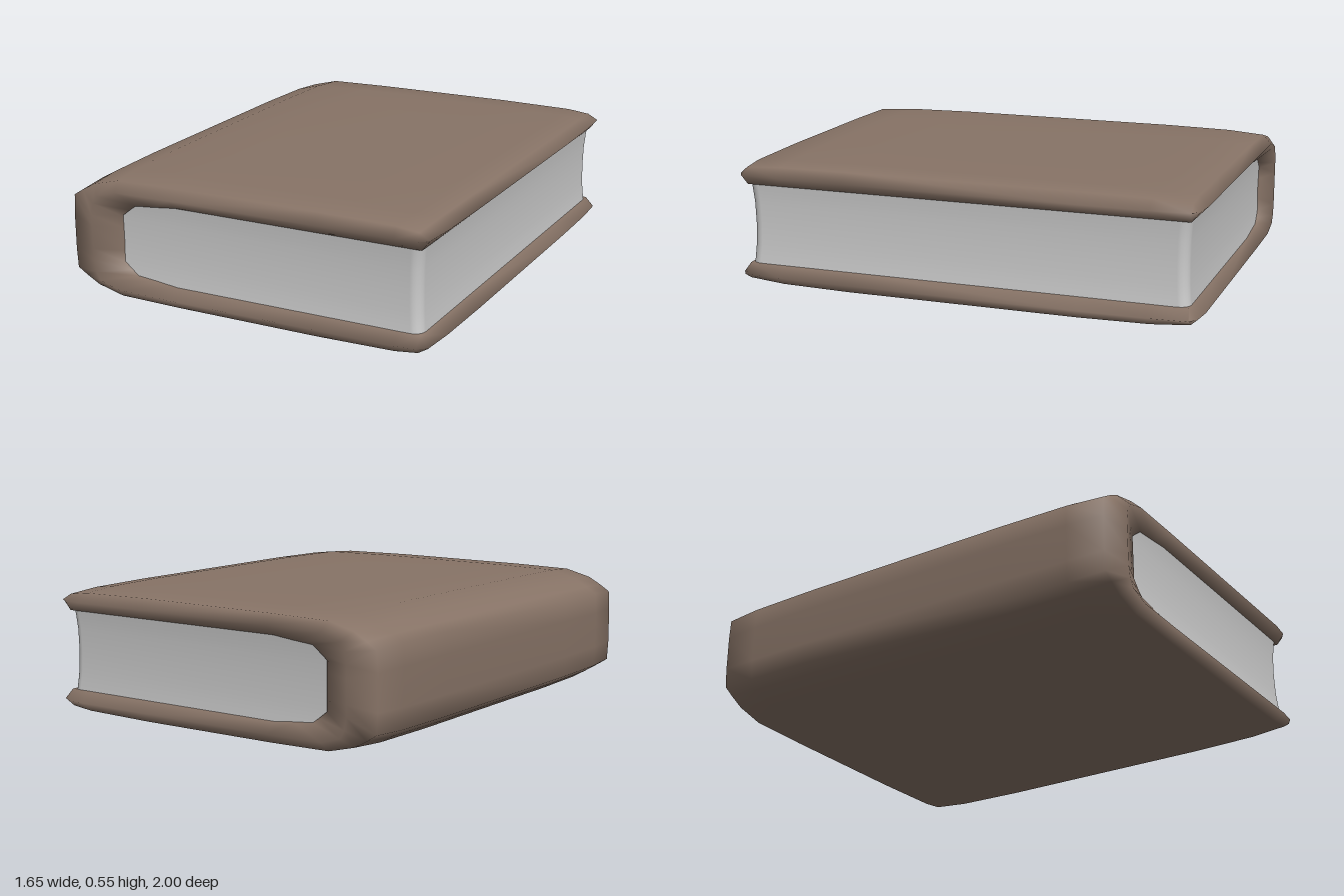
import * as THREE from 'three';
import { mergeVertices } from 'three/addons/utils/BufferGeometryUtils.js';

const MID = 0.273; // height of the book's middle plane

// Skin a grid of points; rows[i][j], closed in j
function skin(rows) {
  const n = rows[0].length, index = [];
  for (let i = 0; i < rows.length - 1; i++) {
    for (let j = 0; j < n; j++) {
      const k = (j + 1) % n;
      const a = i * n + j, b = i * n + k, c = a + n, d = b + n;
      index.push(a, b, c, b, d, c);
    }
  }
  let g = new THREE.BufferGeometry();
  g.setAttribute('position', new THREE.Float32BufferAttribute(rows.flat(2), 3));
  g.setIndex(index);
  g = mergeVertices(g, 1e-4);
  g.computeVertexNormals();
  return g;
}

// Half profiles (x, distance from middle plane), from spine to fore edge
const OUTER = [[-0.83, 0.08], [-0.825, 0.17], [-0.78, 0.2], [-0.72, 0.234], [-0.6, 0.266],
  [-0.32, 0.271], [0.34, 0.273], [0.68, 0.268], [0.78, 0.256], [0.825, 0.215]];
const RIM = [[-0.7, 0.05], [-0.7, 0.1], [-0.69, 0.15], [-0.67, 0.185], [-0.58, 0.212],
  [-0.32, 0.215], [0.34, 0.215], [0.68, 0.215], [0.77, 0.215], [0.81, 0.215]];
const INNER = [[-0.578, 0.05], [-0.578, 0.1], [-0.54, 0.13], [-0.51, 0.152], [-0.42, 0.16],
  [-0.32, 0.171], [0.34, 0.171], [0.68, 0.171], [0.775, 0.171], [0.825, 0.215]];

// Outer skin sections along the book: z, x scale, height scale
const SECTIONS = [[-0.96, 0.982, 0.945], [-0.8, 0.995, 0.985], [-0.5, 1, 1],
  [0.5, 1, 1], [0.8, 0.995, 0.985], [0.96, 0.982, 0.945]];

// One loop around the cover: back rim, outer skin, front rim, inner lining
function coverLoop(i, side) {
  const tip = i === OUTER.length - 1;
  const point = ([x, h], z, sx = 1, sy = 1) => [x * sx, MID + side * h * sy, z];
  const rimZ = tip ? 0.965 : i === OUTER.length - 2 ? 0.99 : 1;
  const outer = SECTIONS.map(([z, sx, sy]) => point(OUTER[i], z, sx, tip ? 1 : sy));
  const inner = tip
    ? SECTIONS.map(([z, sx]) => point(OUTER[i], z, sx)).reverse()
    : SECTIONS.map(([z]) => point(INNER[i], Math.sign(z) * Math.min(Math.abs(z), 0.955))).reverse();
  return [point(RIM[i], -rimZ), ...outer, point(RIM[i], rimZ), ...inner];
}

function coverGeometry() {
  const rows = [];
  for (let i = OUTER.length - 1; i >= 0; i--) rows.push(coverLoop(i, -1));
  for (let i = 0; i < OUTER.length; i++) rows.push(coverLoop(i, 1));
  return skin(rows);
}

// Page block: rounded rectangles stacked in height, slightly hollow at mid height
function pagesGeometry() {
  const r = 0.045, steps = 5;
  const levels = [[-0.195, 0], [-0.15, 0.005], [-0.09, 0.01], [0, 0.012],
    [0.09, 0.01], [0.15, 0.005], [0.195, 0]];
  const rows = levels.map(([h, inset]) => {
    const loop = [];
    const corners = [[0.778, 0.957], [-0.64, 0.957], [-0.64, -0.957], [0.778, -0.957]];
    corners.forEach(([x, z], q) => {
      const cx = x - Math.sign(x) * (r + inset), cz = z - Math.sign(z) * (r + inset);
      for (let s = 0; s <= steps; s++) {
        const a = (q + s / steps) * Math.PI / 2;
        loop.push([cx + r * Math.cos(a), MID + h, cz + r * Math.sin(a)]);
      }
    });
    return loop.reverse();
  });
  return skin(rows);
}

export function createModel() {
  const book = new THREE.Group();
  book.name = 'book';
  const add = (name, geometry, color) => {
    const material = new THREE.MeshStandardMaterial({ color });
    const mesh = new THREE.Mesh(geometry, material);
    mesh.name = name;
    book.add(mesh);
  };
  add('cover', coverGeometry(), 0x877366);
  add('pages', pagesGeometry(), 0xcccccc);
  return book;
}
